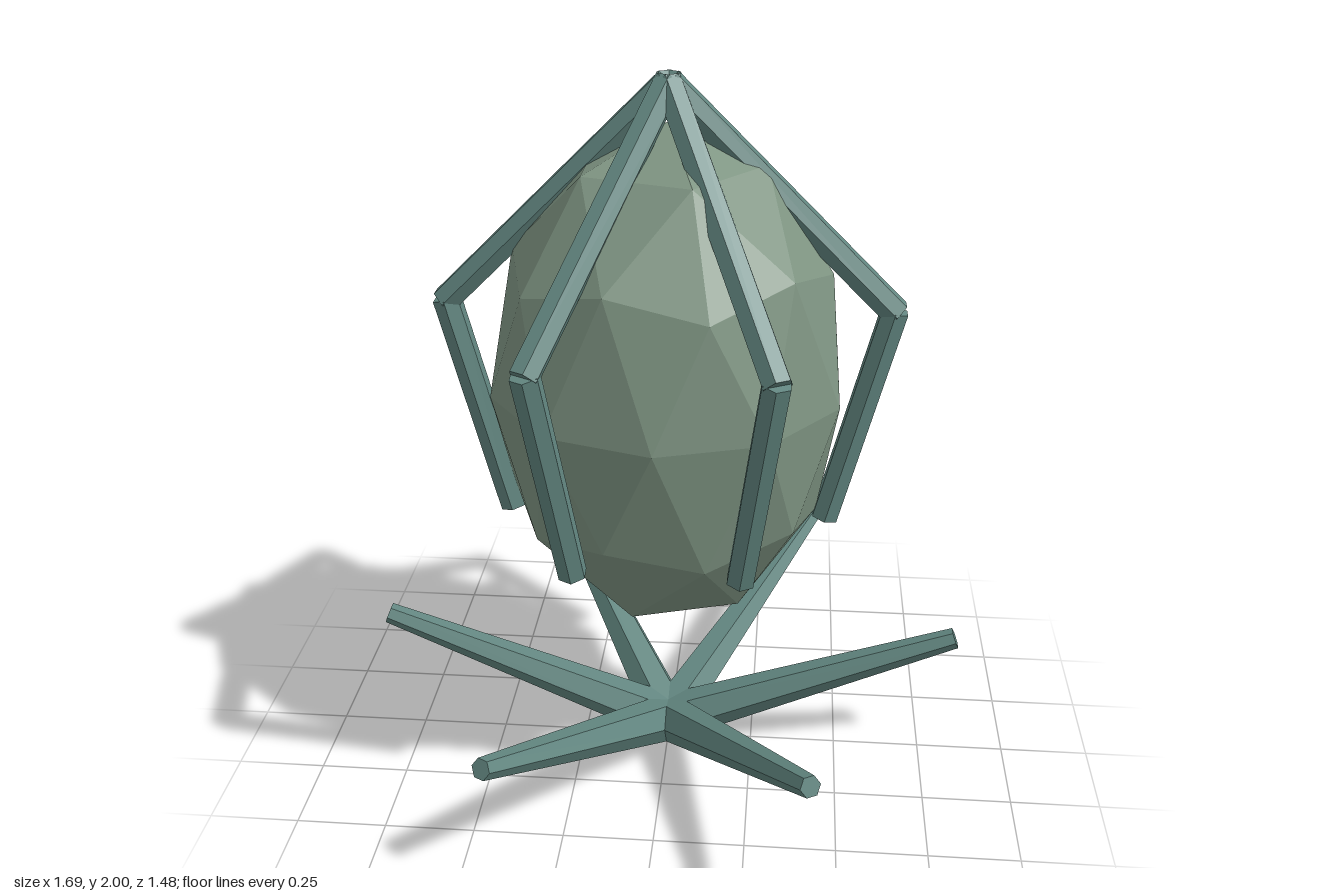
import * as THREE from 'three';

const strutMaterial = new THREE.MeshStandardMaterial({ color: 0x628680, flatShading: true });
strutMaterial.name = 'dull teal';
const podMaterial = new THREE.MeshStandardMaterial({ color: 0x7f9583, flatShading: true });
podMaterial.name = 'sage green';

// Six-sided bar in the xy plane between two [x, y] points, corners pointing along z.
function bar(name, from, to, fromRadius, toRadius) {
  const start = new THREE.Vector3(from[0], from[1], 0);
  const end = new THREE.Vector3(to[0], to[1], 0);
  const axis = end.clone().sub(start);
  const mesh = new THREE.Mesh(
    new THREE.CylinderGeometry(toRadius, fromRadius, axis.length(), 6), strutMaterial);
  mesh.position.copy(start).add(end).multiplyScalar(0.5);
  mesh.rotation.z = Math.atan2(axis.y, axis.x) - Math.PI / 2;
  mesh.name = name;
  return mesh;
}

export function createModel() {
  const model = new THREE.Group();
  model.name = 'cagedPod';

  // Faceted egg-shaped pod: an icosphere turned so that a five-sided corner points up
  const podGeometry = new THREE.IcosahedronGeometry(1, 1);
  podGeometry.rotateZ(-Math.atan(2 / (1 + Math.sqrt(5))));
  podGeometry.scale(0.487, 0.712, 0.487);
  podGeometry.computeVertexNormals();
  const pod = new THREE.Mesh(podGeometry, podMaterial);
  pod.position.y = 1.163;
  pod.name = 'pod';
  model.add(pod);

  // Six spokes, each with a bent cage arm above and a tapered root below
  for (let i = 0; i < 6; i++) {
    const spoke = new THREE.Group();
    spoke.name = 'spoke' + (i + 1);
    spoke.add(
      bar('upperArm', [0.605, 1.377], [0, 1.975], 0.04, 0.04),
      bar('lowerArm', [0.44, 0.765], [0.6, 1.386], 0.04, 0.04),
      bar('root', [0, 0.056], [0.835, 0.382], 0.07, 0.03));
    spoke.rotation.y = i * Math.PI / 3;
    model.add(spoke);
  }
  return model;
}
